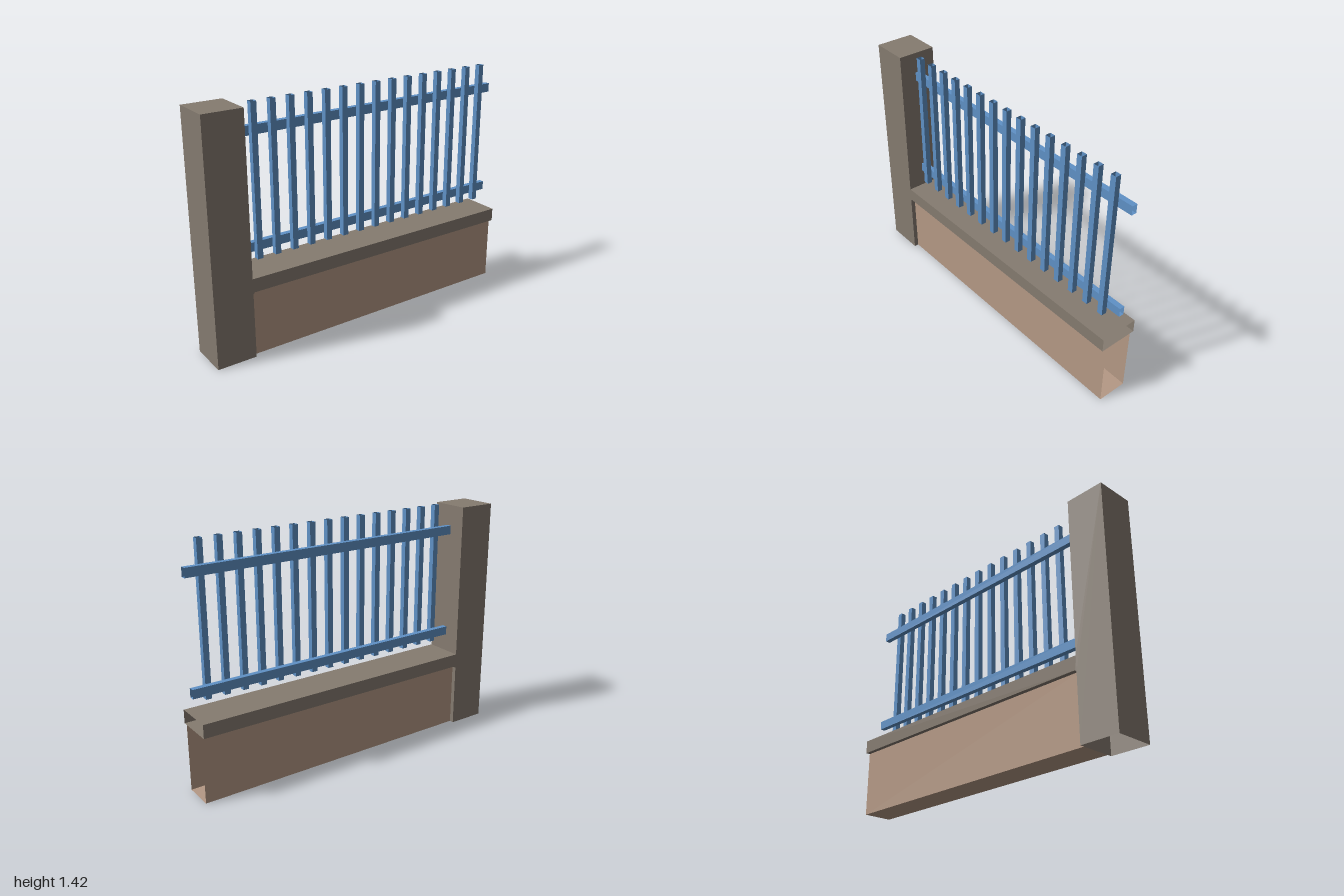
import * as THREE from 'three';
import { mergeGeometries } from 'three/addons/utils/BufferGeometryUtils.js';

const material = (name, color) =>
  new THREE.MeshStandardMaterial({ name, color, side: THREE.DoubleSide });

// Box given by min and max corners, with some faces left out.
// Faces: 0 +x, 1 -x, 2 +y, 3 -y, 4 +z, 5 -z
function openBox(min, max, openFaces) {
  const size = max.map((v, i) => v - min[i]);
  const g = new THREE.BoxGeometry(...size);
  g.translate(...min.map((v, i) => v + size[i] / 2));
  const index = Array.from(g.index.array);
  g.setIndex(index.filter((_, i) => !openFaces.includes(Math.floor(i / 6))));
  g.clearGroups();
  return g;
}

// Hollow body: a (z, y) outline across the width; the listed edges stay open.
function hollowBody(outline, halfWidth, openEdges) {
  const parts = [];
  const shape = new THREE.Shape(outline.map(([z, y]) => new THREE.Vector2(-z, y)));
  for (const s of [1, -1]) {
    const side = new THREE.ShapeGeometry(shape);
    side.rotateY(Math.PI / 2);
    side.translate(s * halfWidth, 0, 0);
    if (s < 0) {
      const a = side.index.array;
      for (let i = 0; i < a.length; i += 3) [a[i], a[i + 1]] = [a[i + 1], a[i]];
      side.computeVertexNormals();
    }
    side.deleteAttribute('uv');
    parts.push(side);
  }
  outline.forEach(([z0, y0], i) => {
    if (openEdges.includes(i)) return;
    const [z1, y1] = outline[(i + 1) % outline.length];
    const w = halfWidth;
    const g = new THREE.BufferGeometry();
    g.setAttribute('position', new THREE.Float32BufferAttribute(
      [-w, y0, z0, w, y0, z0, w, y1, z1, -w, y1, z1], 3));
    g.setIndex([0, 1, 2, 0, 2, 3]);
    g.computeVertexNormals();
    parts.push(g);
  });
  return mergeGeometries(parts);
}

export function createModel() {
  const stone = material('stone', 0x857b70);
  const brick = material('brick', 0xb59985);
  const paint = material('blue paint', 0x5f91c6);

  const model = new THREE.Group();
  model.name = 'fence';
  const add = (name, geometry, mat, parent = model) => {
    const mesh = new THREE.Mesh(geometry, mat);
    mesh.name = name;
    parent.add(mesh);
  };

  // Pillar and coping in one piece, open underneath and at the back end
  const outline = [
    [1, 0], [1, 1.414], [0.767, 1.414], [0.767, 0.476], [-1, 0.476],
    [-1, 0.396], [0.757, 0.396], [0.767, 0.386], [0.767, 0],
  ];
  add('pillarAndCoping', hollowBody(outline, 0.117, [4, 8]), stone);

  // Low wall under the coping
  add('lowWall', openBox([-0.09, 0, -1], [0.09, 0.396, 0.767], [2, 4, 5]), brick);

  // Horizontal rails, open at the ends
  const rails = new THREE.Group();
  rails.name = 'rails';
  model.add(rails);
  for (const y of [0.584, 1.235])
    add('rail', openBox([-0.016, y, -1], [0.016, y + 0.053, 0.767], [4, 5]), paint, rails);

  // Upright pickets fixed to one side of the rails, open at top and bottom
  const pickets = new THREE.Group();
  pickets.name = 'pickets';
  model.add(pickets);
  for (let i = 0; i < 15; i++) {
    const z = 0.677 - i * 0.1122;
    add('picket', openBox([0.016, 0.547, z - 0.017], [0.049, 1.42, z + 0.017], [2, 3]), paint, pickets);
  }
  return model;
}
